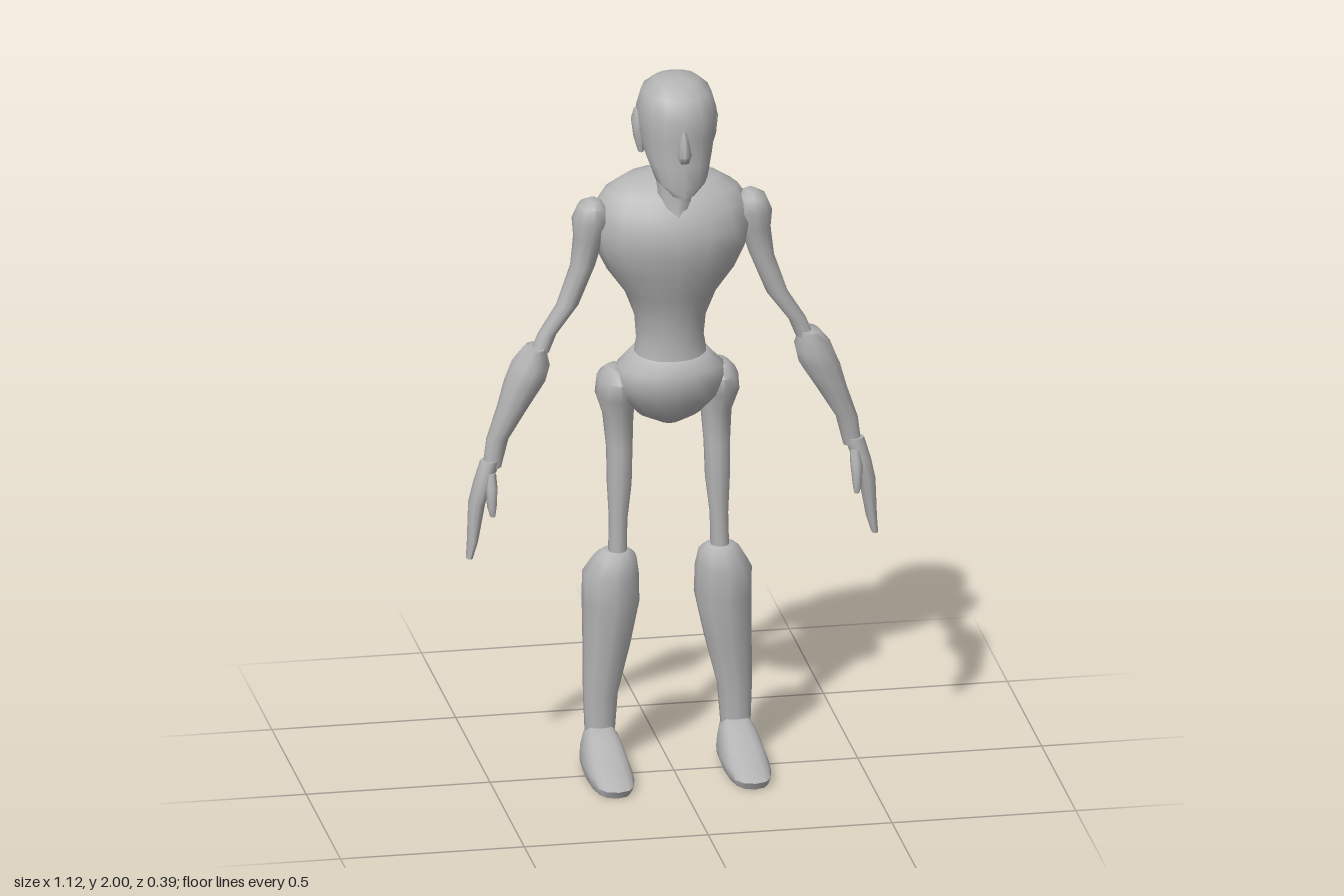
import * as THREE from 'three';
import { toCreasedNormals } from 'three/addons/utils/BufferGeometryUtils.js';

// Closed skin over horizontal rings, listed bottom to top as
// [xMin, xMax, y, zBack, zFront, tilt]; tilt raises the ring's front edge.
// round < 1 makes the rings squarer.
function loft(rings, sides = 12, round = 1) {
  const pos = [], index = [];
  const bend = v => Math.sign(v) * Math.pow(Math.abs(v), round);
  for (const [x0, x1, y, z0, z1, tilt = 0] of rings) {
    for (let j = 0; j < sides; j++) {
      const a = (j / sides) * Math.PI * 2;
      const s = bend(Math.sin(a)), c = bend(Math.cos(a));
      pos.push((x0 + x1) / 2 + s * (x1 - x0) / 2, y + tilt * c, (z0 + z1) / 2 + c * (z1 - z0) / 2);
    }
  }
  const n = rings.length;
  for (const [x0, x1, y, z0, z1] of [rings[0], rings[n - 1]]) pos.push((x0 + x1) / 2, y, (z0 + z1) / 2);
  const low = n * sides, high = low + 1;
  for (let j = 0; j < sides; j++) {
    const k = (j + 1) % sides;
    for (let i = 0; i < n - 1; i++) {
      const a = i * sides + j, b = i * sides + k;
      index.push(a, b, a + sides, b, b + sides, a + sides);
    }
    index.push(low, k, j, high, (n - 1) * sides + j, (n - 1) * sides + k);
  }
  const g = new THREE.BufferGeometry();
  g.setAttribute('position', new THREE.Float32BufferAttribute(pos, 3));
  g.setIndex(index);
  return toCreasedNormals(g, Math.PI / 3);
}

// Parts of the model's left side (+x)
const limbs = {
  ear: [
    [0.085, 0.1, 1.78, 0, 0.025], [0.08, 0.112, 1.82, -0.01, 0.035],
    [0.08, 0.118, 1.87, -0.02, 0.035], [0.085, 0.11, 1.9, -0.01, 0.025],
  ],
  upperArm: [
    [0.335, 0.385, 1.21, -0.055, 0], [0.315, 0.365, 1.26, -0.055, 0],
    [0.255, 0.315, 1.34, -0.058, 0.003], [0.21, 0.277, 1.45, -0.062, 0.008],
    [0.185, 0.268, 1.53, -0.075, 0.015], [0.17, 0.272, 1.58, -0.09, 0.03],
    [0.18, 0.255, 1.62, -0.08, 0.025], [0.2, 0.23, 1.635, -0.05, 0],
  ],
  forearm: [
    [0.465, 0.515, 0.89, -0.05, -0.005], [0.445, 0.505, 0.97, -0.055, 0],
    [0.39, 0.475, 1.06, -0.072, 0.015], [0.345, 0.456, 1.13, -0.085, 0.026],
    [0.333, 0.435, 1.18, -0.087, 0.03, -0.01], [0.345, 0.4, 1.225, -0.07, 0.02],
  ],
  hand: [
    [0.542, 0.56, 0.635, -0.045, -0.01], [0.528, 0.557, 0.68, -0.055, -0.004],
    [0.508, 0.553, 0.79, -0.066, 0.004], [0.488, 0.54, 0.85, -0.062, 0.01],
    [0.468, 0.522, 0.91, -0.052, 0],
  ],
  thumb: [
    [0.488, 0.502, 0.763, 0.002, 0.02], [0.484, 0.51, 0.79, -0.006, 0.026],
    [0.48, 0.512, 0.84, -0.02, 0.02], [0.482, 0.51, 0.88, -0.03, 0.008],
  ],
  thigh: [
    [0.115, 0.165, 0.57, -0.105, -0.05], [0.112, 0.162, 0.7, -0.108, -0.05],
    [0.1, 0.167, 0.8, -0.118, -0.046], [0.097, 0.168, 0.9, -0.125, -0.047],
    [0.092, 0.175, 0.99, -0.155, -0.05], [0.085, 0.195, 1.05, -0.18, -0.02],
    [0.09, 0.19, 1.1, -0.18, -0.01], [0.115, 0.165, 1.13, -0.13, -0.04],
  ],
  calf: [
    [0.145, 0.225, 0.07, -0.125, -0.06], [0.135, 0.23, 0.2, -0.135, -0.055],
    [0.1, 0.23, 0.34, -0.16, -0.04], [0.075, 0.23, 0.46, -0.192, -0.022],
    [0.077, 0.23, 0.54, -0.185, -0.02], [0.085, 0.2, 0.59, -0.155, -0.03],
    [0.105, 0.18, 0.61, -0.12, -0.045],
  ],
  foot: [
    [0.132, 0.242, 0, -0.14, 0.185], [0.124, 0.248, 0.02, -0.145, 0.195],
    [0.124, 0.248, 0.035, -0.148, 0.16], [0.13, 0.242, 0.06, -0.145, 0.085],
    [0.14, 0.23, 0.09, -0.135, 0], [0.155, 0.215, 0.11, -0.12, -0.05],
  ],
};

export function createModel() {
  const model = new THREE.Group();
  model.name = 'mannequin';
  const grey = new THREE.MeshStandardMaterial({ color: 0xb4b4b4 });
  grey.name = 'plain grey';
  const add = (name, rings, sides, round) => {
    const mesh = new THREE.Mesh(loft(rings, sides, round), grey);
    mesh.name = name;
    model.add(mesh);
  };

  // Skull with the jaw rising towards the back
  add('head', [
    [-0.035, 0.035, 1.7, 0.08, 0.16, -0.01], [-0.072, 0.072, 1.74, 0.03, 0.163, -0.025],
    [-0.09, 0.09, 1.79, -0.065, 0.163, -0.015], [-0.102, 0.102, 1.85, -0.09, 0.158],
    [-0.106, 0.106, 1.91, -0.095, 0.165], [-0.092, 0.092, 1.96, -0.075, 0.14],
    [-0.06, 0.06, 1.99, -0.03, 0.095], [-0.02, 0.02, 2, 0.01, 0.055],
  ], 14, 0.9);
  add('nose', [
    [-0.015, 0.015, 1.79, 0.13, 0.165], [-0.02, 0.02, 1.81, 0.13, 0.18],
    [-0.011, 0.011, 1.87, 0.13, 0.165], [-0.008, 0.008, 1.9, 0.13, 0.158],
  ], 8);
  add('neck', [
    [-0.035, 0.035, 1.605, -0.05, 0.078], [-0.053, 0.053, 1.64, -0.055, 0.07],
    [-0.048, 0.048, 1.7, -0.045, 0.062], [-0.05, 0.05, 1.8, -0.03, 0.085],
  ], 10);

  // Ribcage narrowing to the waist
  add('torso', [
    [-0.1, 0.1, 1.175, -0.14, 0.025], [-0.092, 0.092, 1.22, -0.14, 0.022],
    [-0.098, 0.098, 1.29, -0.138, 0.03], [-0.125, 0.125, 1.36, -0.142, 0.05],
    [-0.175, 0.175, 1.43, -0.16, 0.08], [-0.205, 0.205, 1.49, -0.17, 0.092],
    [-0.216, 0.216, 1.55, -0.172, 0.1], [-0.208, 0.208, 1.61, -0.17, 0.075],
    [-0.182, 0.182, 1.65, -0.148, 0.05, -0.005], [-0.13, 0.13, 1.68, -0.12, 0.02, -0.01],
    [-0.05, 0.05, 1.7, -0.09, -0.02],
  ], 16);
  add('pelvis', [
    [-0.03, 0.03, 0.977, -0.1, -0.04], [-0.085, 0.085, 1, -0.145, -0.01],
    [-0.13, 0.13, 1.05, -0.178, 0.035], [-0.155, 0.155, 1.1, -0.188, 0.048],
    [-0.145, 0.145, 1.14, -0.178, 0.05], [-0.1, 0.1, 1.185, -0.15, 0.03, -0.012],
  ], 16);

  // Mirrored parts
  for (const side of [1, -1]) {
    for (const [part, rings] of Object.entries(limbs)) {
      const placed = side > 0 ? rings : rings.map(([x0, x1, ...rest]) => [-x1, -x0, ...rest]);
      const name = (side > 0 ? 'left' : 'right') + part[0].toUpperCase() + part.slice(1);
      add(name, placed, part === 'foot' ? 16 : 10, part === 'foot' ? 0.75 : 1);
    }
  }
  return model;
}
